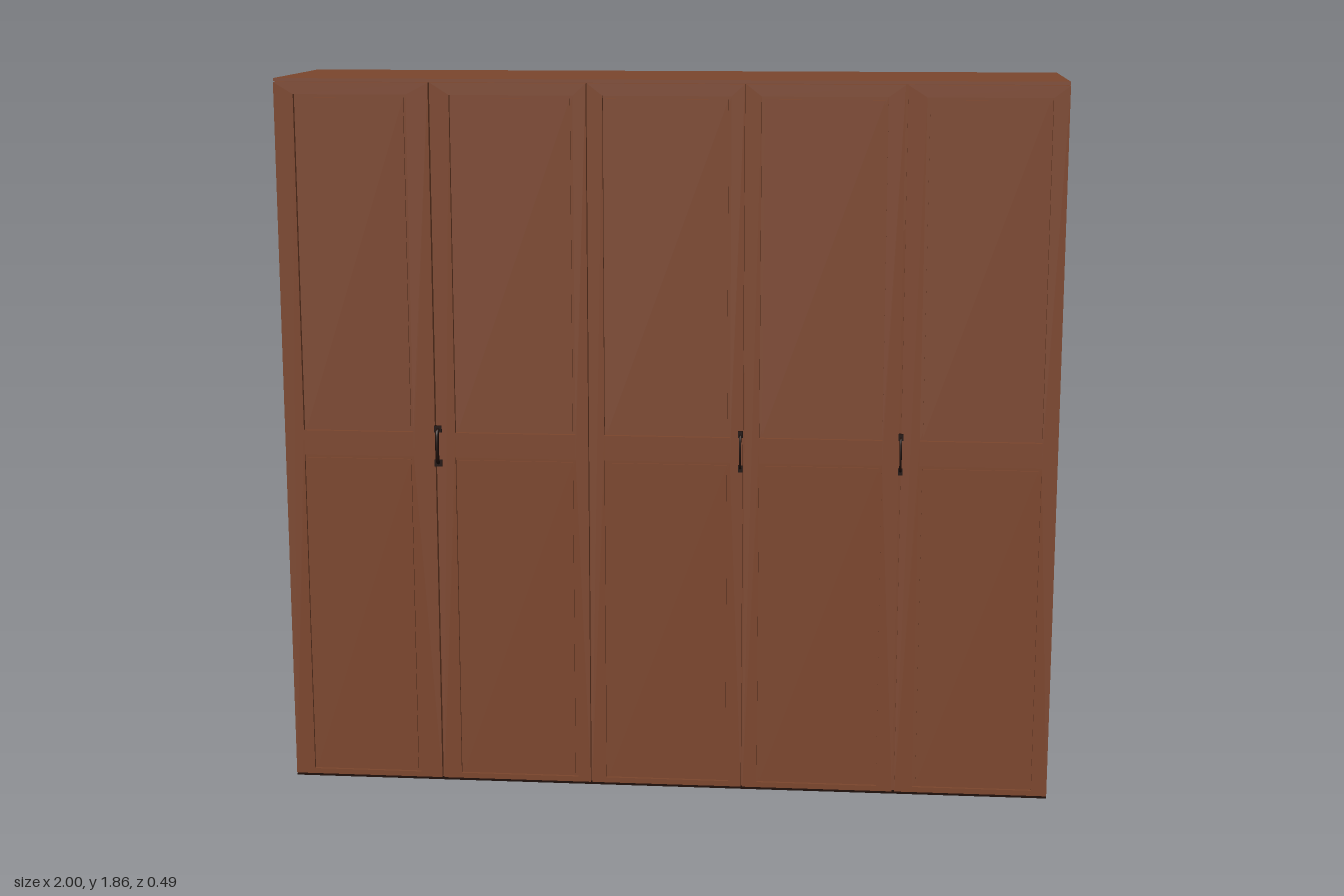
import * as THREE from 'three';

const wood = new THREE.MeshStandardMaterial({ color: 0x7c462d });
wood.name = 'brown wood';
const dark = new THREE.MeshStandardMaterial({ color: 0x1c0d08 });
dark.name = 'dark metal and underside';

const HEIGHT = 1.86, BACK = -0.245, CORE = 0.207, FRONT = 0.225;

// Box given by its minimum and maximum corners
function box(name, x0, x1, y0, y1, z0, z1, material = wood) {
  const mesh = new THREE.Mesh(new THREE.BoxGeometry(x1 - x0, y1 - y0, z1 - z0), material);
  mesh.position.set((x0 + x1) / 2, (y0 + y1) / 2, (z0 + z1) / 2);
  mesh.name = name;
  return mesh;
}

function rect(Type, x0, x1, y0, y1) {
  const p = new Type();
  p.moveTo(x0, y0);
  p.lineTo(x1, y0);
  p.lineTo(x1, y1);
  p.lineTo(x0, y1);
  p.closePath();
  return p;
}

// Door: a frame with two openings, each holding a recessed panel
function makeDoor(x0, x1, px0, px1) {
  const door = new THREE.Group();
  door.name = 'door';
  const openings = [[0.02, 0.885, 0.220], [0.95, 1.82, 0.216]];
  const shape = rect(THREE.Shape, x0, x1, 0.006, 1.85);
  for (const [y0, y1] of openings) shape.holes.push(rect(THREE.Path, px0, px1, y0, y1));
  const frame = new THREE.Mesh(
    new THREE.ExtrudeGeometry(shape, { depth: FRONT - CORE, bevelEnabled: false }), wood);
  frame.position.z = CORE;
  frame.name = 'doorFrame';
  door.add(frame);
  for (const [y0, y1, z] of openings) {
    door.add(box('recessedPanel', px0, px1, y0, y1, CORE, z - 0.003));
    // Raised field inside the narrow border groove
    door.add(box('panelField', px0 + 0.008, px1 - 0.008, y0 + 0.008, y1 - 0.008, CORE, z + 0.002));
  }
  return door;
}

// Bow handle with two mounting feet
function makeHandle(x, radius) {
  const handle = new THREE.Group();
  handle.name = 'handle';
  const bow = new THREE.CatmullRomCurve3([
    [0.870, 0.224], [0.876, 0.236], [0.895, 0.241], [0.935, 0.241], [0.954, 0.236], [0.960, 0.224],
  ].map(([y, z]) => new THREE.Vector3(x, y, z)));
  const grip = new THREE.Mesh(new THREE.TubeGeometry(bow, 24, radius, 8), dark);
  grip.name = 'handleGrip';
  handle.add(grip);
  for (const y of [0.87, 0.96]) {
    handle.add(box('handleFoot', x - radius * 2, x + radius * 2, y - 0.009, y + 0.009, 0.222, 0.229, dark));
  }
  return handle;
}

export function createModel() {
  const wardrobe = new THREE.Group();
  wardrobe.name = 'wardrobe';

  // Carcass, top edge and dark underside
  wardrobe.add(box('carcass', -1, 1, 0.003, HEIGHT, BACK, CORE));
  wardrobe.add(box('topEdge', -1, 1, 1.852, HEIGHT, CORE, FRONT - 0.002));
  wardrobe.add(box('underside', -1, 1, 0, 0.003, BACK, FRONT, dark));

  // Five doors: outer edges, then panel edges
  const doors = [
    [-1, -0.603, -0.95, -0.66],
    [-0.597, -0.202, -0.55, -0.235],
    [-0.198, 0.198, -0.16, 0.165],
    [0.202, 0.597, 0.24, 0.555],
    [0.603, 1, 0.65, 0.96],
  ];
  for (const d of doors) wardrobe.add(makeDoor(...d));

  // Handles at the door joints
  wardrobe.add(makeHandle(-0.595, 0.005), makeHandle(0.192, 0.003), makeHandle(0.602, 0.003));
  return wardrobe;
}
